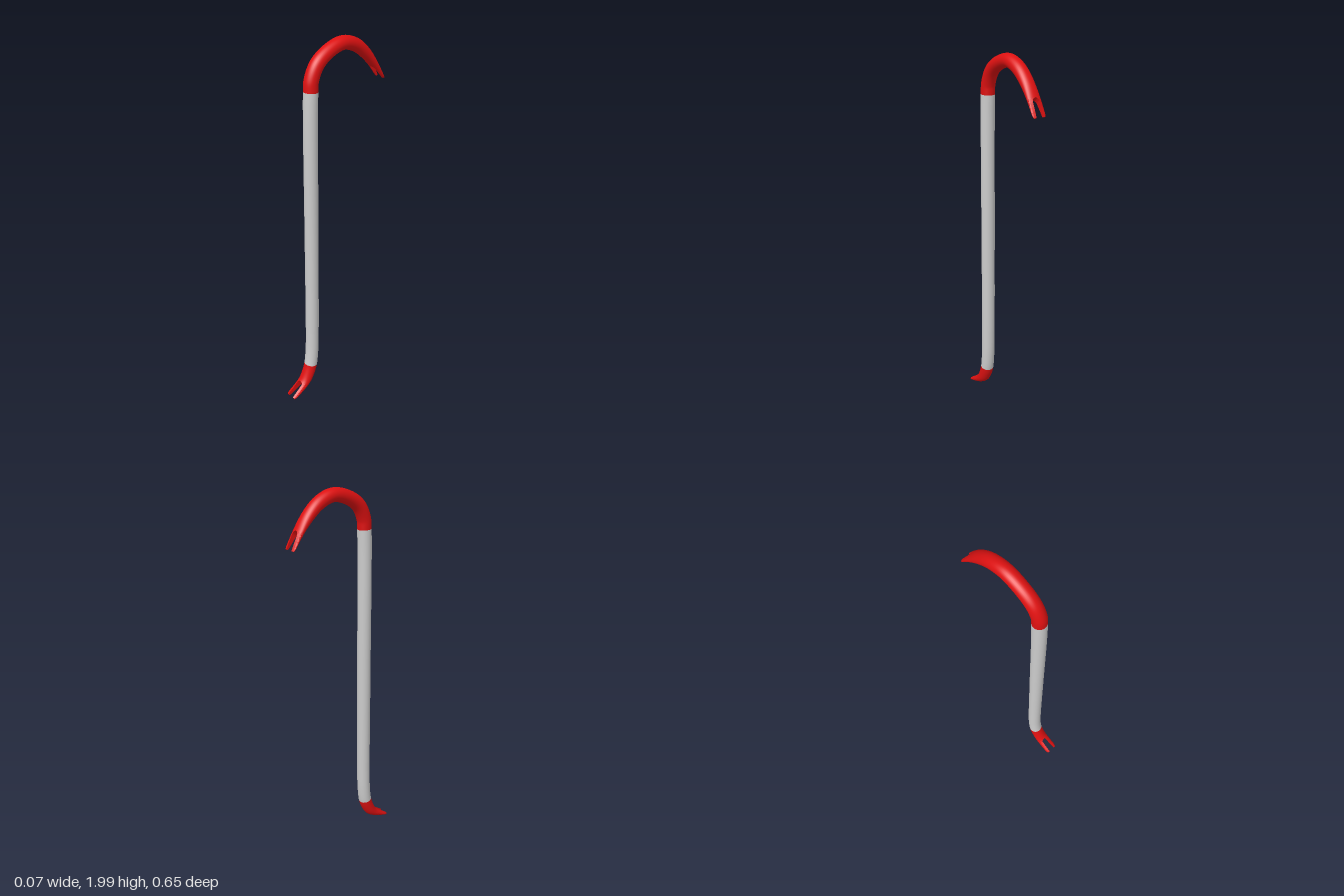
import * as THREE from 'three';
import { toCreasedNormals } from 'three/addons/utils/BufferGeometryUtils.js';

const R = 0.036;     // half width of the bar
const SLOT = 0.017;  // half width of the nail slot

// Centre line from lower tip to upper tip: [z, y, half thickness]
const PATH = [
  [0.318, 0.012, 0.010], [0.265, 0.040, 0.020], [0.230, 0.062, 0.026], [0.205, 0.088, 0.032],
  [0.183, 0.130, 0.035], [0.169, 0.172, R], [0.158, 0.260, R], [0.153, 0.400, R],
  [0.147, 1.000, R], [0.138, 1.775, R], [0.132, 1.830, R], [0.098, 1.895, R],
  [0.035, 1.940, 0.035], [-0.060, 1.966, 0.034], [-0.143, 1.942, 0.033], [-0.210, 1.890, 0.028],
  [-0.268, 1.822, 0.018], [-0.320, 1.746, 0.006],
];
// The half thickness rides along in the x coordinate
const curve = new THREE.CatmullRomCurve3(PATH.map(([z, y, b]) => new THREE.Vector3(b, y, z)));
const X = new THREE.Vector3(1, 0, 0);

// Sweeps section(f, halfThickness) -> [[x, n], ...] between two path indices
function sweep(from, to, steps, section, cap = false) {
  const pos = [], index = [];
  let count = 0;
  for (let i = 0; i <= steps; i++) {
    const f = i / steps;
    const t = (from + (to - from) * f) / (PATH.length - 1);
    const c = curve.getPoint(t);
    const tan = curve.getTangent(t).setX(0).normalize().multiplyScalar(Math.sign(to - from));
    const n = tan.cross(X);
    const loop = section(f, c.x);
    count = loop.length;
    for (const [x, h] of loop) pos.push(x, c.y + n.y * h, c.z + n.z * h);
  }
  for (let i = 0; i < steps; i++) {
    for (let j = 0; j < count; j++) {
      const k = (j + 1) % count;
      const a = i * count + j, b = i * count + k;
      index.push(a, b, b + count, a, b + count, a + count);
    }
  }
  if (cap) {
    const s = steps * count;
    for (let j = 1; j < count - 1; j++) index.push(s, s + j, s + j + 1);
  }
  const g = new THREE.BufferGeometry();
  g.setAttribute('position', new THREE.Float32BufferAttribute(pos, 3));
  g.setIndex(index);
  g.computeVertexNormals();
  return g;
}

// Points of an ellipse arc, counter-clockwise
function arc(a, b, start, end, n, closed) {
  const pts = [];
  for (let j = 0; j < n; j++) {
    const th = start + (end - start) * j / (closed ? n : n - 1);
    pts.push([a * Math.cos(th), b * Math.sin(th)]);
  }
  return pts;
}

const round = (f, b) => arc(R, b, 0, Math.PI * 2, 32, true);

// D-shaped prong: the ellipse cut off at the slot, rounded at the slot root
const prong = (side) => (f, b) => {
  const u = Math.min(1, f / 0.22);
  const gap = SLOT * Math.sqrt(1 - (1 - u) ** 2) + 0.002 * f;
  const end = Math.max(0, (f - 0.8) / 0.2);
  const a = R - 0.005 * end * end;
  const phi = Math.acos(gap / a);
  const mid = side > 0 ? 0 : Math.PI;
  return arc(a, b, mid - phi, mid + phi, 17, false);
};

export function createModel() {
  const model = new THREE.Group();
  model.name = 'pryBar';
  const steel = new THREE.MeshStandardMaterial({ color: 0xcccccc });
  const paint = new THREE.MeshStandardMaterial({ color: 0xdd1111 });

  const add = (parent, name, geometry, material) => {
    const mesh = new THREE.Mesh(geometry, material);
    mesh.name = name;
    parent.add(mesh);
  };

  // Bare shaft
  add(model, 'shaft', sweep(5, 9, 32, round), steel);

  // Painted ends: round neck, then two prongs either side of the slot
  const addClaw = (name, start, root, tip) => {
    const claw = new THREE.Group();
    claw.name = name;
    add(claw, 'neck', sweep(start, root, 8 * Math.abs(root - start), round), paint);
    for (const side of [1, -1]) {
      const g = toCreasedNormals(sweep(root, tip, 30, prong(side), true), 0.7);
      add(claw, side > 0 ? 'leftProng' : 'rightProng', g, paint);
    }
    model.add(claw);
  };
  addClaw('foot', 5, 2, 0);
  addClaw('hook', 9, 16, 17);

  return model;
}
